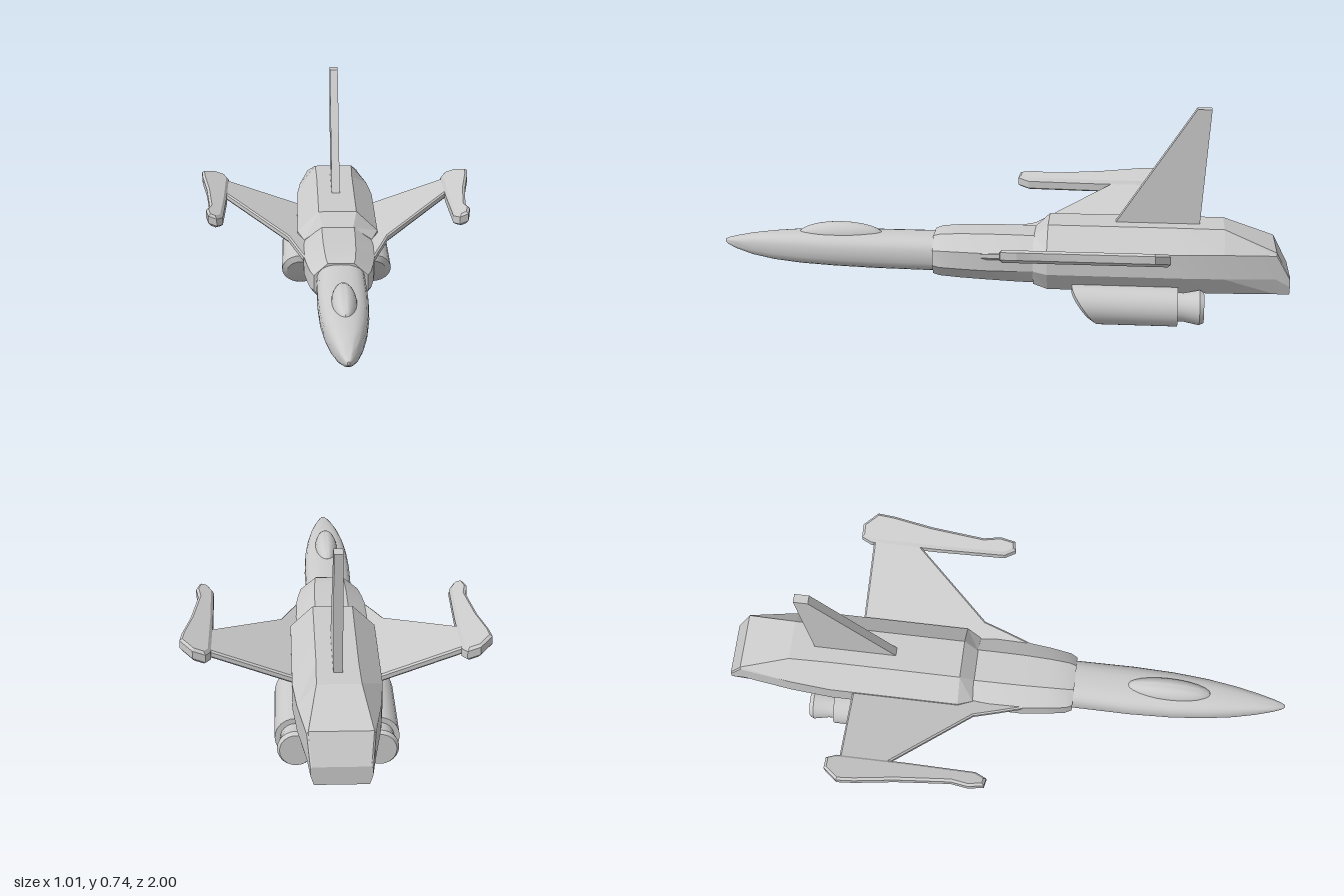
import * as THREE from 'three';
import { toCreasedNormals } from 'three/addons/utils/BufferGeometryUtils.js';

const material = new THREE.MeshStandardMaterial({ color: 0xcccccc });

function add(group, name, geometry, crease = 0.5) {
  const mesh = new THREE.Mesh(toCreasedNormals(geometry, crease), material);
  mesh.name = name;
  group.add(mesh);
  return mesh;
}

// Skins closed rings (counter-clockwise seen from +z), ordered back to front, and caps both ends.
function loft(rings) {
  const n = rings[0].length, pos = rings.flat(2), idx = [];
  for (let i = 0; i < rings.length - 1; i++) {
    for (let j = 0; j < n; j++) {
      const a = i * n + j, b = i * n + (j + 1) % n;
      idx.push(a, b, b + n, a, b + n, a + n);
    }
  }
  const last = (rings.length - 1) * n;
  for (let j = 1; j < n - 1; j++) idx.push(0, j + 1, j, last, last + j, last + j + 1);
  const g = new THREE.BufferGeometry();
  g.setAttribute('position', new THREE.Float32BufferAttribute(pos, 3));
  g.setIndex(idx);
  return g;
}

// Rounded-box cross-section
function roundRing([z, half, top, bottom], power = 0.75, n = 24) {
  const ring = [], mid = (top + bottom) / 2, h = (top - bottom) / 2;
  for (let j = 0; j < n; j++) {
    const a = (j / n) * Math.PI * 2, c = Math.cos(a), s = Math.sin(a);
    ring.push([half * Math.sign(c) * Math.abs(c) ** power, mid + h * Math.sign(s) * Math.abs(s) ** power, z]);
  }
  return ring;
}

// Eight-sided cross-section
function octRing([z, topHalf, side, bottomHalf, yTop, yHigh, yLow, yBottom]) {
  const right = [[bottomHalf, yBottom], [side, yLow], [side, yHigh], [topHalf, yTop]];
  const left = right.map(([x, y]) => [-x, y]).reverse();
  return [...right, ...left].map(([x, y]) => [x, y, z]);
}

// Flat plate from an (x, z) outline, canted upward with the wing dihedral
function cantedPlate(points, thickness, bevel, side) {
  const shape = new THREE.Shape(points.map(([x, z]) => new THREE.Vector2(side * x, -z)));
  const g = new THREE.ExtrudeGeometry(shape, {
    depth: thickness - 2 * bevel, bevelEnabled: true, bevelSegments: 1,
    bevelSize: bevel, bevelThickness: bevel, bevelOffset: -bevel,
  });
  g.translate(0, 0, bevel - thickness / 2);
  g.rotateX(-Math.PI / 2);
  const p = g.attributes.position;
  for (let i = 0; i < p.count; i++) {
    p.setY(i, p.getY(i) + 0.235 + 0.355 * (side * p.getX(i) - 0.13));
  }
  return g;
}

export function createModel() {
  const model = new THREE.Group();
  model.name = 'jetFighter';

  // Angular rear hull
  add(model, 'rearHull', loft([
    [-1, 0.09, 0.095, 0.085, 0.17, 0.165, 0.14, 0.11],
    [-0.95, 0.1, 0.105, 0.088, 0.265, 0.255, 0.17, 0.11],
    [-0.77, 0.071, 0.132, 0.097, 0.335, 0.262, 0.175, 0.11],
    [-0.62, 0.068, 0.145, 0.1, 0.335, 0.262, 0.178, 0.11],
    [-0.16, 0.068, 0.145, 0.1, 0.335, 0.262, 0.178, 0.11],
    [-0.11, 0.055, 0.122, 0.092, 0.29, 0.245, 0.18, 0.125],
  ].map(octRing)), 0.1);

  // Middle body with stepped collar at the front
  add(model, 'midBody', loft([
    [-0.14, 0.058, 0.115, 0.085, 0.29, 0.245, 0.18, 0.127],
    [-0.05, 0.058, 0.125, 0.085, 0.292, 0.245, 0.18, 0.129],
    [0.06, 0.057, 0.125, 0.08, 0.292, 0.243, 0.18, 0.132],
    [0.15, 0.054, 0.115, 0.075, 0.29, 0.242, 0.18, 0.135],
    [0.22, 0.05, 0.104, 0.068, 0.285, 0.24, 0.18, 0.138],
    [0.245, 0.045, 0.092, 0.062, 0.277, 0.235, 0.182, 0.143],
  ].map(octRing)), 0.4);

  // Long tapering nose
  add(model, 'nose', loft([
    [0.2, 0.083, 0.273, 0.142],
    [0.45, 0.085, 0.272, 0.146],
    [0.6, 0.08, 0.271, 0.15],
    [0.72, 0.069, 0.269, 0.155],
    [0.82, 0.054, 0.262, 0.164],
    [0.9, 0.037, 0.253, 0.178],
    [0.96, 0.021, 0.242, 0.197],
    [0.99, 0.011, 0.235, 0.211],
    [1, 0.004, 0.229, 0.219],
  ].map((s) => roundRing(s))), 0.6);

  const canopy = new THREE.SphereGeometry(1, 24, 16);
  canopy.scale(0.042, 0.05, 0.155);
  add(model, 'canopy', canopy).position.set(0, 0.255, 0.58);

  // Upright tail fin
  const finShape = new THREE.Shape([[-0.385, 0.32], [-0.665, 0.745], [-0.715, 0.745], [-0.685, 0.32]]
    .map(([z, y]) => new THREE.Vector2(-z, y)));
  const fin = new THREE.ExtrudeGeometry(finShape, { depth: 0.03, bevelEnabled: false });
  fin.translate(0, 0, -0.015);
  fin.rotateY(Math.PI / 2);
  add(model, 'tailFin', fin);

  for (const side of [1, -1]) {
    const prefix = side > 0 ? 'left' : 'right';

    add(model, prefix + 'Wing', cantedPlate([
      [0.1, -0.54], [0.415, -0.535], [0.415, -0.37], [0.18, -0.1], [0.155, -0.02], [0.125, 0.07], [0.09, 0.07],
    ], 0.026, 0.006, side), 0.3);

    add(model, prefix + 'WingtipPod', cantedPlate([
      [0.405, -0.545], [0.42, -0.58], [0.462, -0.58], [0.505, -0.53], [0.5, -0.47], [0.478, -0.33],
      [0.46, -0.14], [0.47, -0.08], [0.46, -0.025], [0.43, -0.02], [0.41, -0.06], [0.405, -0.3],
    ], 0.044, 0.009, side), 0.3);

    // Underslung engine: round body with a raked, chamfered front
    const circle = (r, y, zAt) => Array.from({ length: 24 }, (_, j) => {
      const a = (j / 24) * Math.PI * 2, py = y + r * Math.sin(a);
      return [r * Math.cos(a), py, zAt(py)];
    });
    const engine = new THREE.Group();
    engine.name = prefix + 'Engine';
    engine.position.x = side * 0.135;
    model.add(engine);
    add(engine, 'engineBody', loft([
      circle(0.068, 0.07, () => -0.615),
      circle(0.068, 0.07, (y) => -0.295 + 0.7 * (y - 0.07)),
      circle(0.05, 0.064, (y) => -0.285 + 0.75 * (y - 0.064)),
    ]));
    add(engine, 'engineNozzle', loft([
      circle(0.053, 0.07, () => -0.705),
      circle(0.061, 0.07, () => -0.69),
      circle(0.05, 0.07, () => -0.635),
      circle(0.05, 0.07, () => -0.6),
    ]));
  }
  return model;
}
